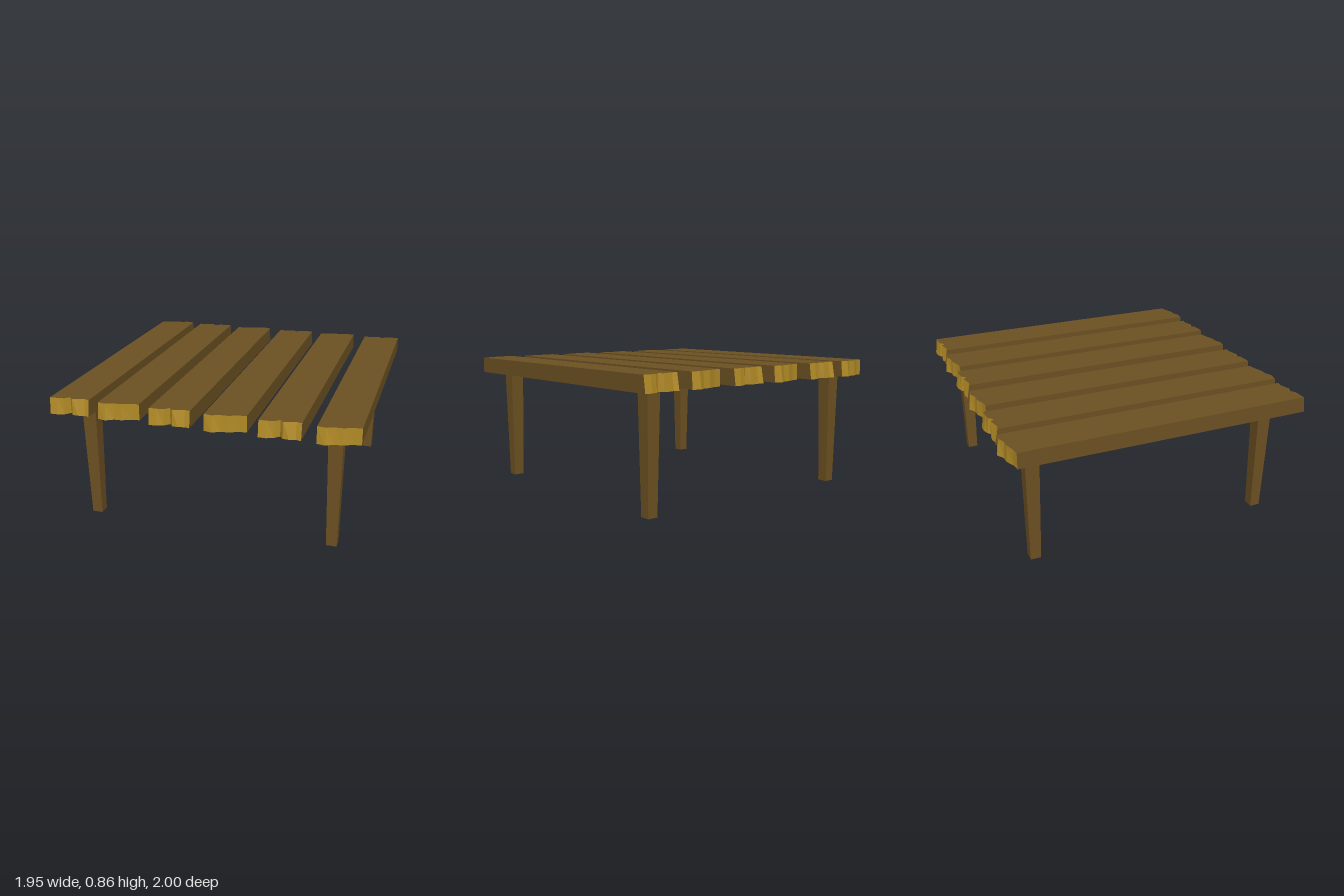
import * as THREE from 'three';

const HALF = 0.128, BOTTOM = 0.755, TOP = 0.86;

// Ragged plank ends: [x, z at the underside, how far the top edge is cut back]
const FRONT_END = [
  [-HALF, 0.99, 0.015], [-0.078, 0.99, 0.015], [-0.035, 0.975, 0.005], [-0.004, 0.942, 0],
  [0.018, 0.972, 0.004], [0.055, 0.975, 0.018], [0.095, 0.966, 0.018], [HALF, 0.975, 0.02],
];
const BACK_END = [
  [HALF, -0.985, 0.01], [0.075, -1, 0.015], [0.028, -0.972, 0.006],
  [-0.02, -0.97, 0.004], [-0.078, -0.945, 0], [-HALF, -0.938, 0],
];

function geometryFrom(positions) {
  const geometry = new THREE.BufferGeometry();
  geometry.setAttribute('position', new THREE.Float32BufferAttribute(positions, 3));
  geometry.computeVertexNormals();
  return geometry;
}

// Returns the sawn faces and the broken end faces separately
function plankGeometries() {
  const outline = [...FRONT_END, ...BACK_END];
  const shape = new THREE.Shape(outline.map(([x, z]) => new THREE.Vector2(x, -z)));
  const solid = new THREE.ExtrudeGeometry(shape, { depth: TOP - BOTTOM, bevelEnabled: false });
  solid.rotateX(-Math.PI / 2).translate(0, BOTTOM, 0);
  const p = solid.attributes.position;

  // Slope the ends by pulling the top corners inwards
  for (let i = 0; i < p.count; i++) {
    if (p.getY(i) < TOP - 0.01) continue;
    const x = p.getX(i), z = p.getZ(i);
    const corner = outline.find(([cx, cz]) => Math.hypot(cx - x, cz - z) < 1e-4);
    p.setZ(i, z - Math.sign(z) * corner[2]);
  }

  const sawn = [], ends = [];
  for (let i = 0; i < p.count; i += 3) {
    const corners = [i, i + 1, i + 2].map((k) => new THREE.Vector3().fromBufferAttribute(p, k));
    const flat = corners.every((c) => Math.abs(c.y - corners[0].y) < 1e-4);
    const side = corners.every((c) => Math.abs(c.x - corners[0].x) < 1e-4);
    for (const c of corners) (flat || side ? sawn : ends).push(c.x, c.y, c.z);
  }
  return [geometryFrom(sawn), geometryFrom(ends)];
}

// Square leg, narrower at the foot
function legGeometry() {
  const geometry = new THREE.BoxGeometry(0.093, BOTTOM, 0.093);
  geometry.translate(0, BOTTOM / 2, 0);
  const p = geometry.attributes.position;
  for (let i = 0; i < p.count; i++) {
    if (p.getY(i) < 0.01) p.setXYZ(i, p.getX(i) * 0.73, 0, p.getZ(i) * 0.73);
  }
  geometry.computeVertexNormals();
  return geometry;
}

export function createModel() {
  const model = new THREE.Group();
  model.name = 'plankTable';
  const wood = new THREE.MeshStandardMaterial({ color: 0x6b5022, flatShading: true });
  const freshWood = new THREE.MeshStandardMaterial({ color: 0xb18a26, flatShading: true });

  // Table top: every second plank is turned end for end
  const [sawn, ends] = plankGeometries();
  [-0.851, -0.524, -0.187, 0.163, 0.499, 0.846].forEach((x, i) => {
    const plank = new THREE.Group();
    plank.name = `plank${i + 1}`;
    const body = new THREE.Mesh(sawn, wood);
    body.name = 'plankBody';
    const broken = new THREE.Mesh(ends, freshWood);
    broken.name = 'plankEnds';
    plank.add(body, broken);
    plank.position.x = x;
    plank.rotation.y = i % 2 ? Math.PI : 0;
    model.add(plank);
  });

  // Legs
  const leg = legGeometry();
  for (const [xName, x] of [['Right', -0.791], ['Left', 0.808]]) {
    for (const [zName, z] of [['front', 0.79], ['back', -0.809]]) {
      const mesh = new THREE.Mesh(leg, wood);
      mesh.name = `${zName}${xName}Leg`;
      mesh.position.set(x, 0, z);
      model.add(mesh);
    }
  }
  return model;
}
